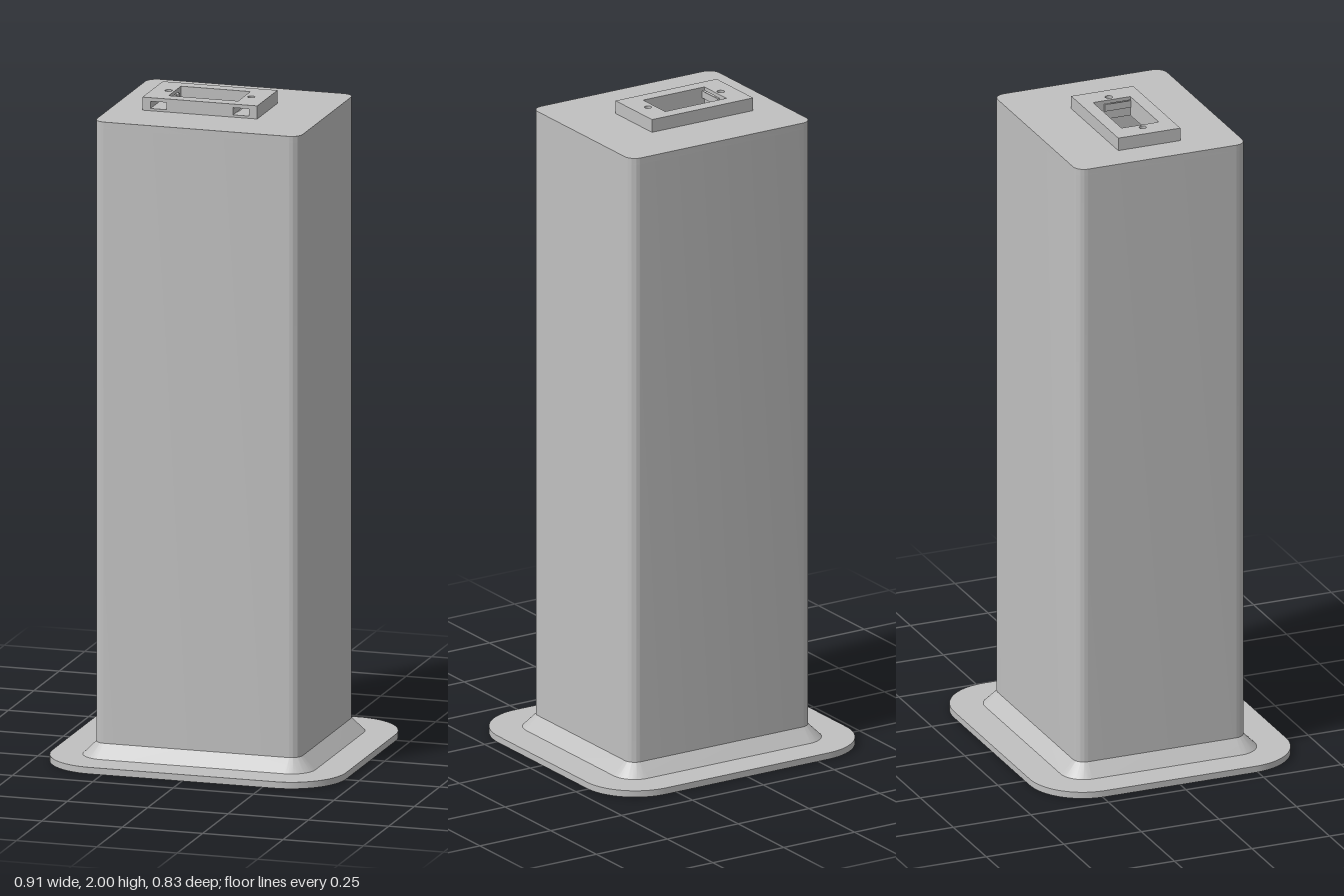
import * as THREE from 'three';
import { toCreasedNormals } from 'three/addons/utils/BufferGeometryUtils.js';

// Rounded rectangle outline, half sizes hx and hz, corner radius r
function roundedRect(hx, hz, r) {
  const s = new THREE.Shape();
  s.absarc(hx - r, hz - r, r, 0, Math.PI / 2);
  s.absarc(-hx + r, hz - r, r, Math.PI / 2, Math.PI);
  s.absarc(-hx + r, -hz + r, r, Math.PI, Math.PI * 1.5);
  s.absarc(hx - r, -hz + r, r, Math.PI * 1.5, Math.PI * 2);
  s.closePath();
  return s;
}

function rect(x0, x1, hz) {
  return new THREE.Path().moveTo(x0, -hz).lineTo(x1, -hz).lineTo(x1, hz).lineTo(x0, hz).closePath();
}

function circle(x, r) {
  return new THREE.Path().absarc(x, 0, r, 0, Math.PI * 2);
}

// Extrude a plan outline upwards from y0 to y1
function slab(shape, y0, y1) {
  const g = new THREE.ExtrudeGeometry(shape, { depth: y1 - y0, bevelEnabled: false, curveSegments: 10 });
  g.rotateX(-Math.PI / 2).translate(0, y0, 0);
  return toCreasedNormals(g, 0.5);
}

// Sloped band joining two outlines with equal point counts
function band(lower, upper, y0, y1) {
  const a = lower.getPoints(10), b = upper.getPoints(10);
  const pos = [];
  for (let i = 0; i < a.length; i++) {
    const j = (i + 1) % a.length;
    const p = [a[i].x, y0, -a[i].y], q = [a[j].x, y0, -a[j].y];
    const u = [b[i].x, y1, -b[i].y], v = [b[j].x, y1, -b[j].y];
    pos.push(...p, ...q, ...v, ...p, ...v, ...u);
  }
  const g = new THREE.BufferGeometry();
  g.setAttribute('position', new THREE.Float32BufferAttribute(pos, 3));
  return toCreasedNormals(g, 0.5);
}

export function createModel() {
  const group = new THREE.Group();
  const grey = new THREE.MeshStandardMaterial({ color: 0xc0c0c0 });
  grey.name = 'plain grey';
  const add = (name, geometry) => {
    const m = new THREE.Mesh(geometry, grey);
    m.name = name;
    group.add(m);
  };

  const HX = 0.32, HZ = 0.273, R = 0.035;
  const screwX = [-0.172, 0.085];
  const withHoles = (shape, ...holes) => {
    shape.holes.push(...holes);
    return shape;
  };
  const bore = () => rect(-0.305, 0.305, 0.258);
  const socketHoles = () => [rect(-0.153, 0.063, 0.06), ...screwX.map((x) => circle(x, 0.011))];

  // Base flange, sloped skirt and hollow column
  add('baseFlange', slab(withHoles(roundedRect(0.457, 0.413, 0.17), bore()), 0, 0.02));
  add('skirt', band(roundedRect(HX + 0.04, HZ + 0.04, R + 0.04), roundedRect(HX, HZ, R), 0.02, 0.06));
  add('column', slab(withHoles(roundedRect(HX, HZ, R), bore()), 0.02, 1.94));
  add('columnTop', slab(withHoles(roundedRect(HX, HZ, R), ...socketHoles()), 1.94, 1.96));

  // Socket block: solid floor and lid around a layer with nut slots
  const block = () => new THREE.Shape(rect(-0.222, 0.135, 0.1).getPoints());
  add('socketFloor', slab(withHoles(block(), ...socketHoles()), 1.96, 1.967));
  add('socketLid', slab(withHoles(block(), ...socketHoles()), 1.989, 2));

  // Slots open at the front and end in half a hexagon
  const w = 0.025;
  const mid = new THREE.Shape().moveTo(-0.222, -0.1);
  for (const x of screwX) {
    mid.lineTo(x - w, -0.1).lineTo(x - w, 0).lineTo(x - w / 2, w * 0.866);
    mid.lineTo(x + w / 2, w * 0.866).lineTo(x + w, 0).lineTo(x + w, -0.1);
  }
  mid.lineTo(0.135, -0.1).lineTo(0.135, 0.1).lineTo(-0.222, 0.1).closePath();
  // The slots break into the window, so its sides step around them
  const x0 = screwX[0] + w + 0.002, x1 = screwX[1] - w - 0.002;
  const opening = new THREE.Path().moveTo(x0, -0.06).lineTo(x1, -0.06);
  opening.lineTo(x1, 0.024).lineTo(0.063, 0.024).lineTo(0.063, 0.06);
  opening.lineTo(-0.153, 0.06).lineTo(-0.153, 0.024).lineTo(x0, 0.024).closePath();
  add('nutSlotLayer', slab(withHoles(mid, opening), 1.967, 1.989));
  return group;
}
